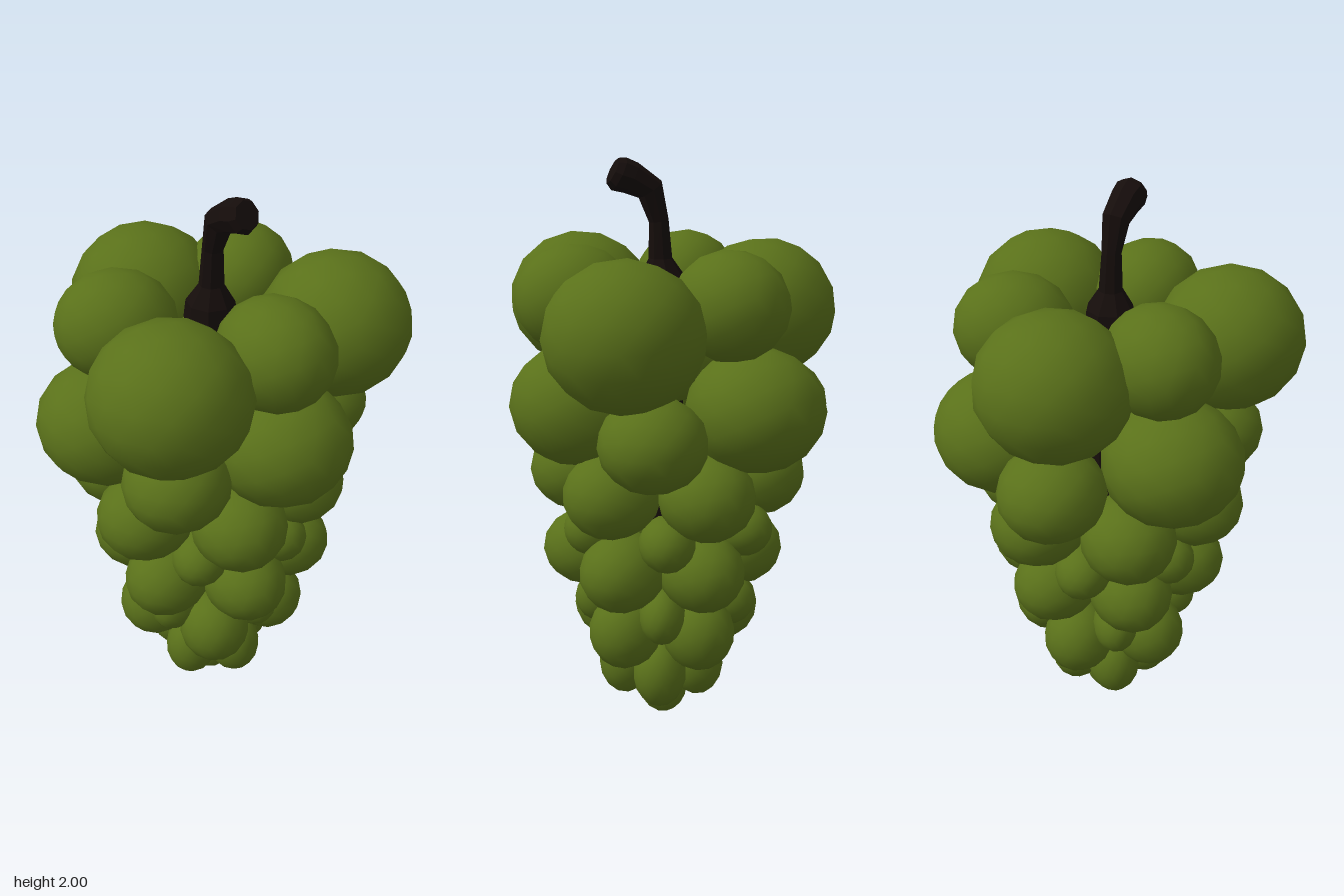
import * as THREE from 'three';
import { mergeVertices } from 'three/addons/utils/BufferGeometryUtils.js';

// n angles in degrees, evenly spaced from a start angle
const spread = (n, start) => Array.from({ length: n }, (_, i) => start + (i * 360) / n);

export function createModel() {
  const model = new THREE.Group();
  const skin = new THREE.MeshStandardMaterial({ color: 0x5a711a });
  const bark = new THREE.MeshStandardMaterial({ color: 0x150d0b, flatShading: true });

  // one low-poly berry shape with smooth normals, shared by all grapes
  const berry = new THREE.IcosahedronGeometry(1, 2);
  berry.deleteAttribute('uv');
  const berryGeometry = mergeVertices(berry);

  // rings of grapes from top to bottom; angles are measured from +x towards +z,
  // size is [radial, vertical, sideways] radius
  const rings = [
    { name: 'topLargeGrapes', angles: [27, 153, 270], y: 1.5, ring: 0.382, size: [0.249, 0.235, 0.252], cx: 0, cz: 0.065 },
    { name: 'topSmallGrapes', angles: spread(3, 90), y: 1.56, ring: 0.298, size: [0.198, 0.177, 0.18], cx: -0.005, cz: 0.025 },
    { name: 'coreGrape', angles: [0], y: 1.37, ring: 0, size: [0.21, 0.17, 0.21], cx: 0, cz: 0 },
    { name: 'shoulderLargeGrapes', angles: [83, 201, 323], y: 1.22, ring: 0.336, size: [0.23, 0.205, 0.232], cx: -0.005, cz: -0.008 },
    { name: 'shoulderSmallGrapes', angles: spread(3, 25), y: 1.16, ring: 0.38, size: [0.182, 0.153, 0.175], cx: 0.01, cz: -0.005 },
    { name: 'upperMiddleGrapes', angles: spread(6, 50), y: 0.945, ring: 0.31, size: [0.168, 0.147, 0.16], cx: -0.014, cz: 0.014 },
    { name: 'upperFillerGrapes', angles: spread(6, 76), y: 0.79, ring: 0.29, size: [0.105, 0.095, 0.095], cx: 0, cz: 0.01 },
    { name: 'lowerMiddleGrapes', angles: spread(6, 45), y: 0.665, ring: 0.262, size: [0.16, 0.137, 0.143], cx: -0.005, cz: 0.032 },
    { name: 'lowerFillerGrapes', angles: spread(5, 90), y: 0.5, ring: 0.23, size: [0.1, 0.098, 0.079], cx: -0.003, cz: 0.02 },
    { name: 'lowerGrapes', angles: spread(5, 54), y: 0.415, ring: 0.215, size: [0.13, 0.135, 0.125], cx: -0.005, cz: 0.025 },
    { name: 'bottomGrapes', angles: spread(5, 90), y: 0.225, ring: 0.135, size: [0.096, 0.123, 0.094], cx: -0.01, cz: 0.035 },
    { name: 'tipGrape', angles: [0], y: 0.105, ring: 0, size: [0.088, 0.105, 0.088], cx: -0.01, cz: 0.03 },
  ];
  for (const s of rings) {
    const group = new THREE.Group();
    group.name = s.name;
    for (const angle of s.angles) {
      const a = THREE.MathUtils.degToRad(angle);
      const grape = new THREE.Mesh(berryGeometry, skin);
      grape.name = 'grape';
      grape.position.set(s.cx + s.ring * Math.cos(a), s.y, s.cz + s.ring * Math.sin(a));
      grape.scale.set(...s.size);
      grape.rotation.y = -a;
      group.add(grape);
    }
    model.add(group);
  }

  // stem: a cylinder whose rows follow stations of [y, z, radius, forward tilt]
  const stations = [
    [0.15, 0.02, 0.04, 0],
    [0.6, 0.02, 0.07, 0],
    [1.5, 0.02, 0.06, 0],
    [1.56, 0.03, 0.085, 0],
    [1.62, 0.03, 0.078, 0],
    [1.68, 0.035, 0.04, 0],
    [1.8, 0.04, 0.033, 0.12],
    [1.9, 0.068, 0.046, 0.6],
    [1.937, 0.13, 0.052, 1.1],
    [1.95, 0.17, 0.056, 1.1],
    [1.96, 0.19, 0.044, 1.1],
  ];
  const rows = stations.length - 1;
  const stemGeometry = new THREE.CylinderGeometry(1, 1, 1, 8, rows);
  const p = stemGeometry.attributes.position;
  for (let i = 0; i < p.count; i++) {
    const [y, z, r, tilt] = stations[Math.round((p.getY(i) + 0.5) * rows)];
    const side = p.getZ(i) * r;
    p.setXYZ(i, p.getX(i) * r - 0.01, y - side * Math.sin(tilt), z + side * Math.cos(tilt));
  }
  stemGeometry.computeVertexNormals();
  const stem = new THREE.Mesh(stemGeometry, bark);
  stem.name = 'stem';
  model.add(stem);

  return model;
}
